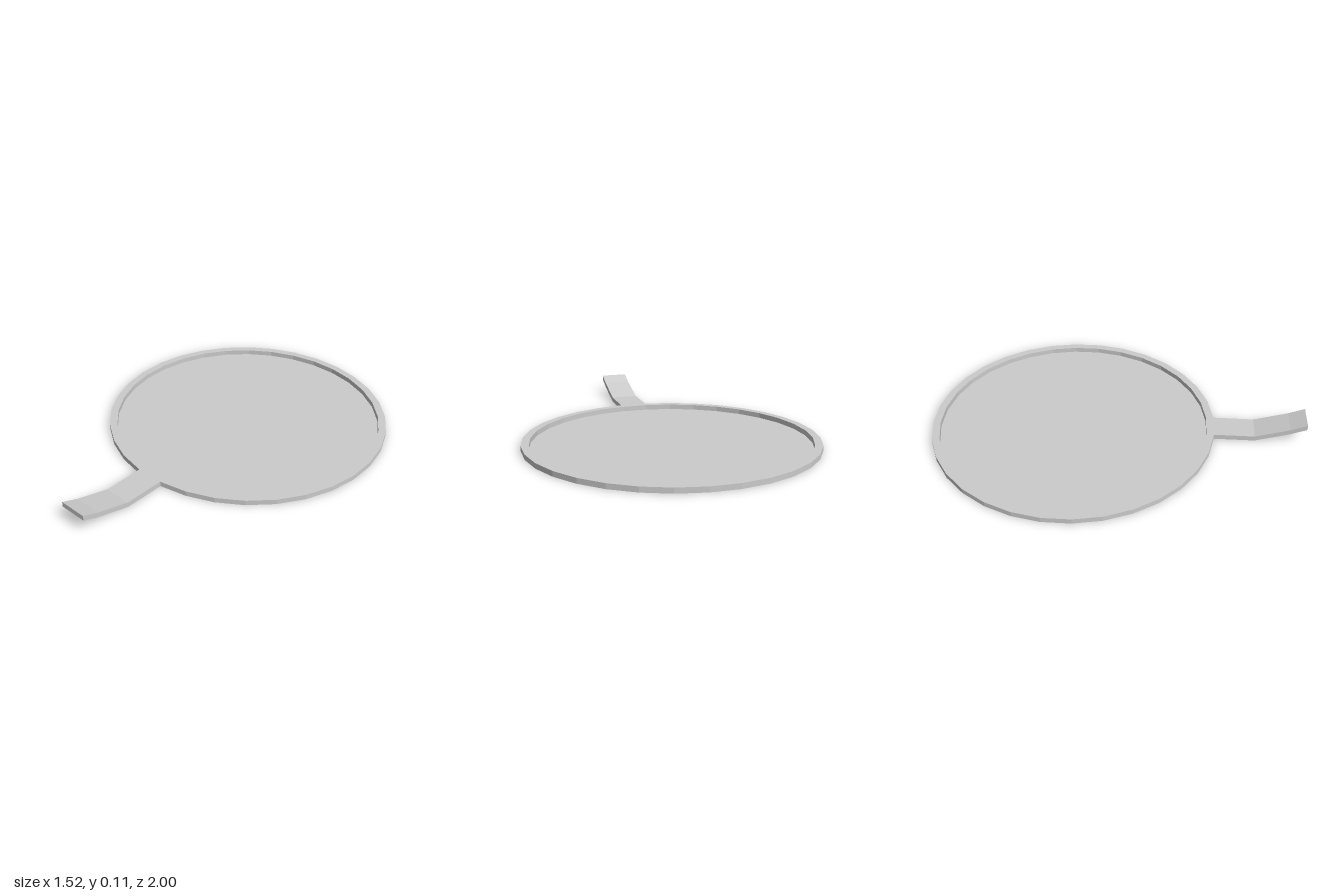
import * as THREE from 'three';

const SEGMENTS = 32, OUTER = 0.76, INNER = 0.72, HEIGHT = 0.027, CENTRE_Z = -0.24;

const material = new THREE.MeshStandardMaterial({
  color: 0xcccccc, flatShading: true, side: THREE.DoubleSide,
});

function part(name, geometry) {
  const mesh = new THREE.Mesh(geometry, material);
  mesh.name = name;
  return mesh;
}

// Bar swept through sections of [left x, left z, right x, right z, bottom y, top y]
function sweptBar(sections) {
  const positions = [], index = [];
  for (const [lx, lz, rx, rz, low, high] of sections) {
    positions.push(lx, low, lz, rx, low, rz, rx, high, rz, lx, high, lz);
  }
  for (let s = 0; s < sections.length - 1; s++) {
    for (let k = 0; k < 4; k++) {
      const a = s * 4 + k, b = s * 4 + (k + 1) % 4;
      index.push(a, b, b + 4, a, b + 4, a + 4);
    }
  }
  // Cap at the free end
  const e = (sections.length - 1) * 4;
  index.push(e, e + 1, e + 2, e, e + 2, e + 3);
  const geometry = new THREE.BufferGeometry();
  geometry.setAttribute('position', new THREE.Float32BufferAttribute(positions, 3));
  geometry.setIndex(index);
  geometry.computeVertexNormals();
  return geometry;
}

export function createModel() {
  const group = new THREE.Group();
  group.name = 'trayWithHandle';

  // Raised rim: outer wall, top and inner wall, open underneath
  const profile = [[OUTER, 0], [OUTER, HEIGHT], [INNER, HEIGHT], [INNER, 0]]
    .map(([r, y]) => new THREE.Vector2(r, y));
  const rim = part('rim', new THREE.LatheGeometry(profile, SEGMENTS));
  rim.position.z = CENTRE_Z;

  // Thin floor at the bottom of the rim
  const floor = part('floor', new THREE.CircleGeometry(INNER, SEGMENTS).rotateX(-Math.PI / 2));
  floor.position.z = CENTRE_Z;

  // Handle grows from one facet of the rim and curves upward
  const a = 2 * Math.PI / SEGMENTS;
  const handle = part('handle', sweptBar([
    [0, CENTRE_Z + OUTER, OUTER * Math.sin(a), CENTRE_Z + OUTER * Math.cos(a), 0, HEIGHT],
    [0.021, 0.734, 0.168, 0.72, 0, HEIGHT],
    [0.039, 0.915, 0.186, 0.901, 0.053, 0.08],
    [0.047, 1.0, 0.194, 0.986, 0.086, 0.113],
  ]));

  group.add(rim, floor, handle);
  return group;
}
